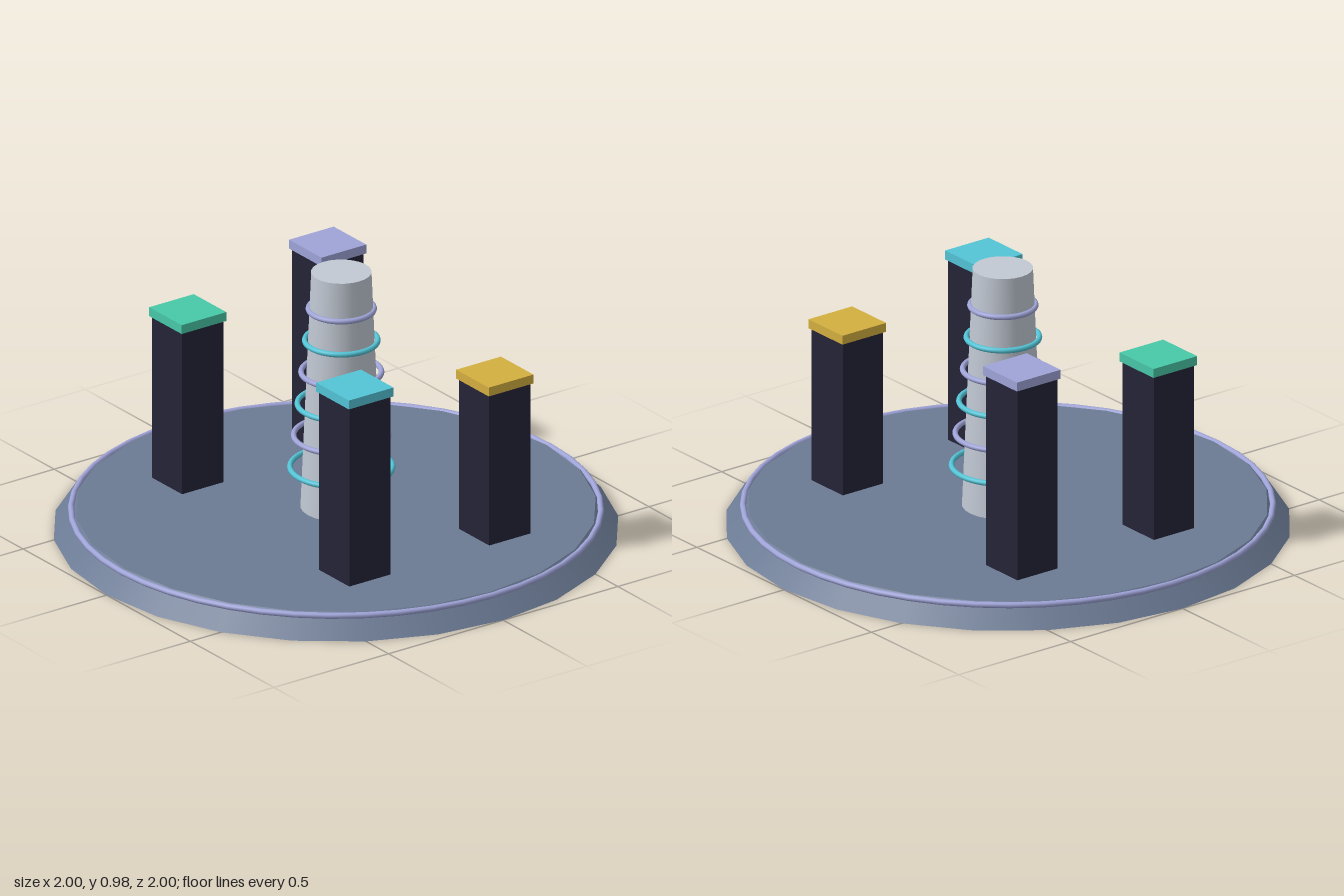
import * as THREE from 'three';

const paint = (name, color) => {
  const m = new THREE.MeshStandardMaterial({ color });
  m.name = name;
  return m;
};

export function createModel() {
  const slate = paint('slate', 0x6b7a94);
  const silver = paint('silver', 0xc2c9d4);
  const dark = paint('darkNavy', 0x242438);
  const lavender = paint('lavender', 0x9fa4d8);
  const teal = paint('teal', 0x53c4d6);
  const green = paint('green', 0x48c8a8);
  const gold = paint('gold', 0xd4af40);

  const model = new THREE.Group();
  model.name = 'towerPlatform';

  const add = (parent, name, geometry, material, x, y, z) => {
    const mesh = new THREE.Mesh(geometry, material);
    mesh.name = name;
    mesh.position.set(x, y, z);
    parent.add(mesh);
    return mesh;
  };
  // Horizontal ring measured by its outer radius
  const ring = (parent, name, outer, tube, material, y, z) => {
    const geometry = new THREE.TorusGeometry(outer - tube, tube, 10, 48);
    geometry.rotateX(Math.PI / 2);
    return add(parent, name, geometry, material, 0, y, z);
  };

  // Sloping round platform with a rim ring
  const floor = 0.08;
  add(model, 'platform', new THREE.CylinderGeometry(0.92, 1, floor, 24), slate, 0, floor / 2, 0);
  ring(model, 'platformRim', 0.945, 0.011, lavender, 0.072, 0);

  // Tapered central spire with six shrinking rings
  const centreZ = -0.023;
  const spire = new THREE.Group();
  spire.name = 'spire';
  model.add(spire);
  add(spire, 'spireColumn', new THREE.CylinderGeometry(0.107, 0.145, 0.9, 24), silver, 0, floor + 0.45, centreZ);
  for (let i = 0; i < 6; i++) {
    ring(spire, 'spireRing' + (i + 1), 0.191 - i * 0.013, 0.01, i % 2 ? lavender : teal, 0.23 + i * 0.1217, centreZ);
  }

  // Four square towers, each with an overhanging coloured cap
  const towers = [
    ['frontLeftTower', 0.5, 0.282, 0.8, teal],
    ['frontRightTower', -0.5, 0.282, 0.735, green],
    ['backLeftTower', 0.5, -0.328, 0.692, gold],
    ['backRightTower', -0.5, -0.328, 0.837, lavender],
  ];
  const capHeight = 0.034;
  for (const [name, x, z, top, material] of towers) {
    const tower = new THREE.Group();
    tower.name = name;
    tower.position.set(x, 0, z);
    model.add(tower);
    const bodyHeight = top - capHeight - floor;
    add(tower, 'towerBody', new THREE.BoxGeometry(0.18, bodyHeight, 0.18), dark, 0, floor + bodyHeight / 2, 0);
    add(tower, 'towerCap', new THREE.BoxGeometry(0.195, capHeight, 0.195), material, 0, top - capHeight / 2, 0);
  }

  return model;
}
